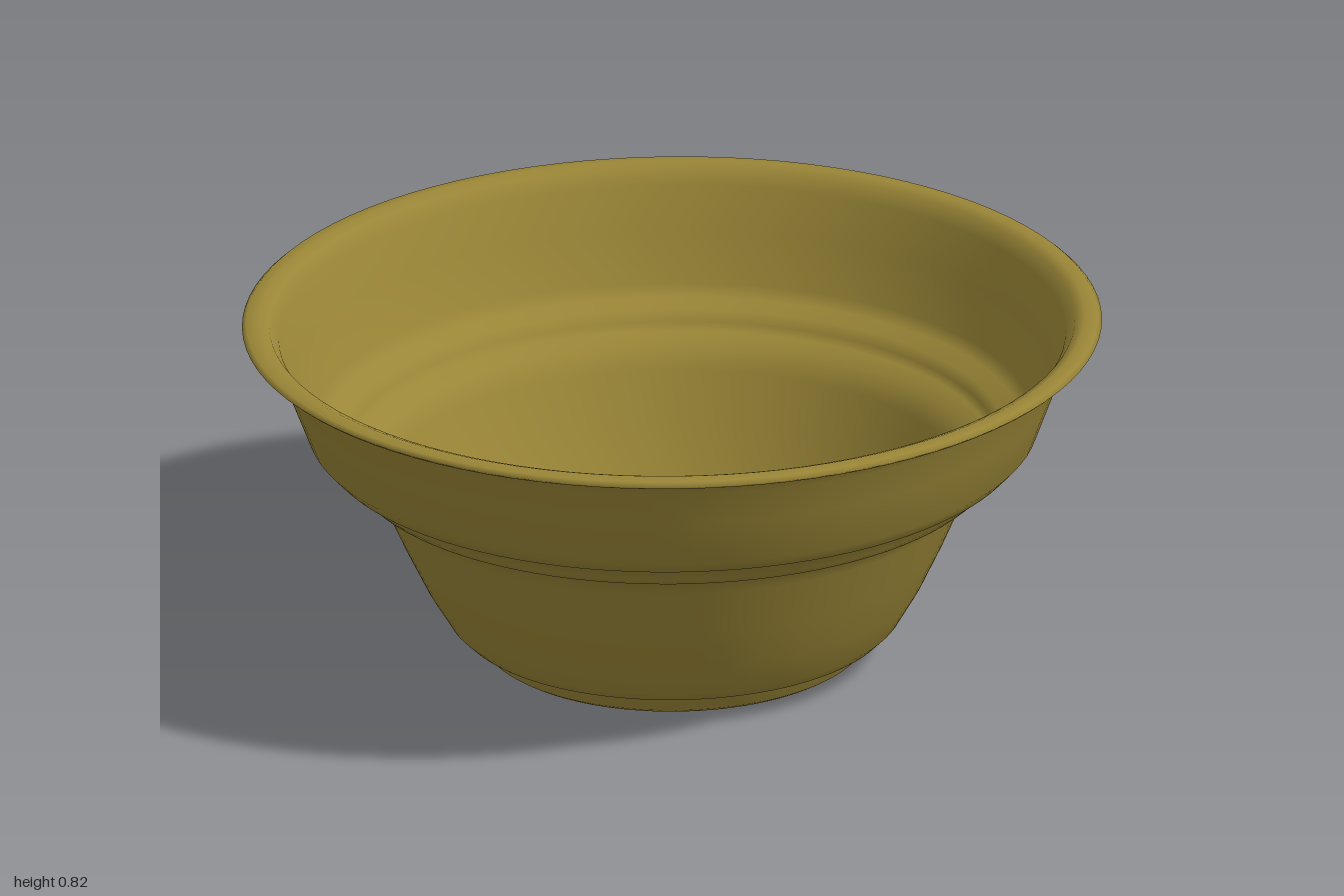
import * as THREE from 'three';

export function createModel() {
  const model = new THREE.Group();
  const olive = new THREE.MeshStandardMaterial({ color: 0x9a8637, side: THREE.DoubleSide });
  olive.name = 'olive';

  // Slight lean of the whole pot: the rim rises towards +x
  const pot = new THREE.Group();
  pot.name = 'pot';
  pot.rotation.z = 0.009;
  model.add(pot);

  // Wall: outside from the foot up, over the rolled rim, then down the inside
  const outside = [
    [0.40, 0.03], [0.41, 0.016], [0.43, 0.015], [0.446, 0.025], [0.455, 0.055], [0.47, 0.067],
    [0.505, 0.075], [0.53, 0.1], [0.58, 0.185], [0.635, 0.3], [0.685, 0.415], [0.705, 0.455],
    [0.75, 0.468], [0.768, 0.485], [0.778, 0.512], [0.82, 0.527], [0.85, 0.56],
    [0.895, 0.68], [0.925, 0.765], [0.945, 0.798], [0.97, 0.808],
  ];
  const rim = [[0.992, 0.808], [1.0, 0.815], [0.99, 0.824], [0.96, 0.827], [0.937, 0.818]];
  const inside = [
    [0.915, 0.785], [0.88, 0.685], [0.835, 0.57], [0.815, 0.543], [0.77, 0.53], [0.757, 0.505],
    [0.745, 0.486], [0.695, 0.473], [0.67, 0.42], [0.62, 0.305], [0.565, 0.195], [0.515, 0.11],
    [0.495, 0.092], [0.455, 0.083], [0.438, 0.065], [0.425, 0.05], [0.40, 0.047],
  ];
  const profile = [...outside, ...rim, ...inside].map(([r, y]) => new THREE.Vector2(r, y));
  const wall = new THREE.Mesh(new THREE.LatheGeometry(profile, 96), olive);
  wall.name = 'wall';
  pot.add(wall);

  // Floor disc with one central and three outer drain holes
  const disc = new THREE.Shape().absarc(0, 0, 0.405, 0, Math.PI * 2);
  const drains = [[0, 0, 0.05], [0.287, -0.257, 0.027], [-0.353, -0.122, 0.027], [0.083, 0.36, 0.027]];
  for (const [x, z, r] of drains) {
    disc.holes.push(new THREE.Path().absarc(x, -z, r, 0, Math.PI * 2, true));
  }
  const floorGeo = new THREE.ExtrudeGeometry(disc, { depth: 0.018, bevelEnabled: false, curveSegments: 32 });
  floorGeo.rotateX(-Math.PI / 2).translate(0, 0.029, 0);
  const floor = new THREE.Mesh(floorGeo, olive);
  floor.name = 'floor';
  pot.add(floor);

  return model;
}
